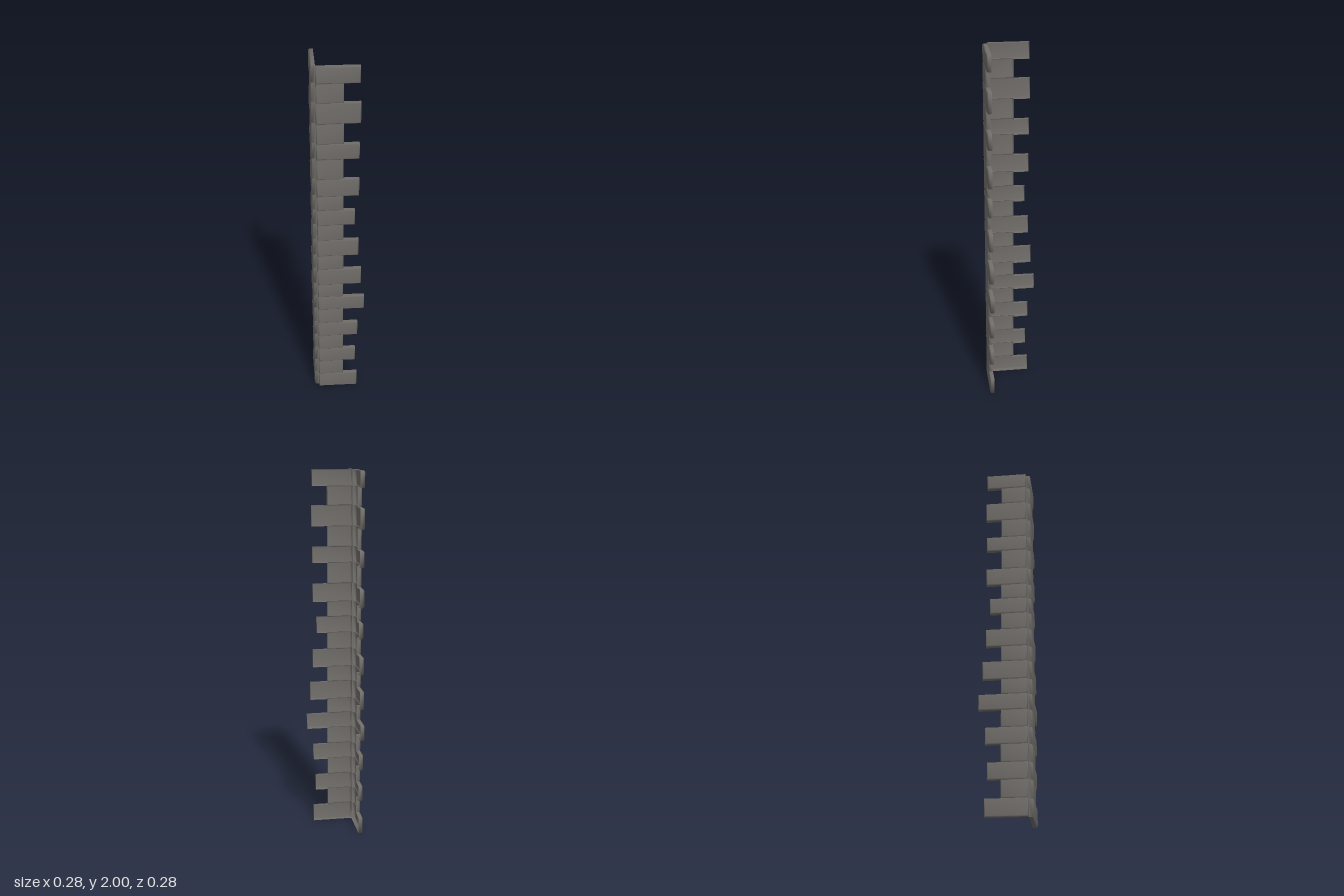
import * as THREE from 'three';

const FRONT = 0.14, BACK = 0.115, BEVEL = 0.006, INNER = 0.115, SHORT_END = 0.023;

// long stones: bottom, top, reach from the middle
const LONG = [
  [0, 0.093, 0.104], [0.188, 0.278, 0.092], [0.373, 0.463, 0.104], [0.558, 0.644, 0.14],
  [0.728, 0.829, 0.12], [0.916, 1.016, 0.104], [1.11, 1.2, 0.083], [1.285, 1.385, 0.104],
  [1.5, 1.587, 0.104], [1.698, 1.81, 0.109], [1.912, 2, 0.104],
];

// corners of a rectangle shrunk by an inset, counter-clockwise from the front
const loop = (x0, x1, y0, y1, inset, z) => [
  [x0 + inset, y0 + inset, z], [x1 - inset, y0 + inset, z],
  [x1 - inset, y1 - inset, z], [x0 + inset, y1 - inset, z],
];

// bevelled hollow stone, open at the back; side = -1 mirrors it.
// lower and upper give the x where the bottom and top walls begin (null for no wall)
function stoneGeometry(side, y0, y1, end, lower, upper) {
  const rim = FRONT - BEVEL;
  const points = [
    ...loop(-INNER, end, y0, y1, BEVEL, FRONT),
    ...loop(-INNER, end, y0, y1, 0, rim),
    ...loop(-INNER, end, y0, y1, 0, BACK),
  ];
  const index = [];
  const quad = (a, b, c, d) =>
    index.push(...(side > 0 ? [a, b, c, a, c, d] : [a, c, b, a, d, c]));

  quad(0, 1, 2, 3); // face
  for (let i = 0; i < 4; i++) { // bevels
    const j = (i + 1) % 4;
    quad(4 + i, 4 + j, j, i);
  }
  quad(9, 10, 6, 5); // outer end
  quad(11, 8, 4, 7); // corner end
  if (lower !== null) {
    const n = points.push([lower, y0, rim], [lower, y0, BACK]);
    quad(n - 1, 9, 5, n - 2);
  }
  if (upper !== null) {
    const n = points.push([upper, y1, rim], [upper, y1, BACK]);
    quad(10, n - 1, n - 2, 6);
  }

  const geometry = new THREE.BufferGeometry();
  const positions = points.flatMap(([x, y, z]) => [side * x, y, z]);
  geometry.setAttribute('position', new THREE.Float32BufferAttribute(positions, 3));
  geometry.setIndex(index);
  geometry.computeVertexNormals();
  return geometry;
}

// one wing of the corner; side = 1 runs towards +x, -1 towards -x
function makeWing(name, side, material) {
  const wing = new THREE.Group();
  wing.name = name;
  const add = (part, ...shape) => {
    const stone = new THREE.Mesh(stoneGeometry(side, ...shape), material);
    stone.name = part;
    wing.add(stone);
  };
  const last = LONG.length - 1;
  LONG.forEach(([y0, y1, end], i) => {
    // full walls close the foot and the top, the others only cover the overhang
    add('longStone', y0, y1, end, i === 0 ? -INNER : SHORT_END, i === last ? -INNER : SHORT_END);
    if (i < last) add('shortStone', y1, LONG[i + 1][0], SHORT_END, null, null);
  });
  return wing;
}

export function createModel() {
  const stone = new THREE.MeshStandardMaterial({ color: 0x706d69, side: THREE.DoubleSide });
  stone.name = 'grey stone';

  const model = new THREE.Group();
  model.name = 'cornerStones';

  // the second wing faces -x and runs towards the back
  const sideWing = makeWing('sideWing', -1, stone);
  sideWing.rotation.y = -Math.PI / 2;

  model.add(makeWing('frontWing', 1, stone), sideWing);
  return model;
}
